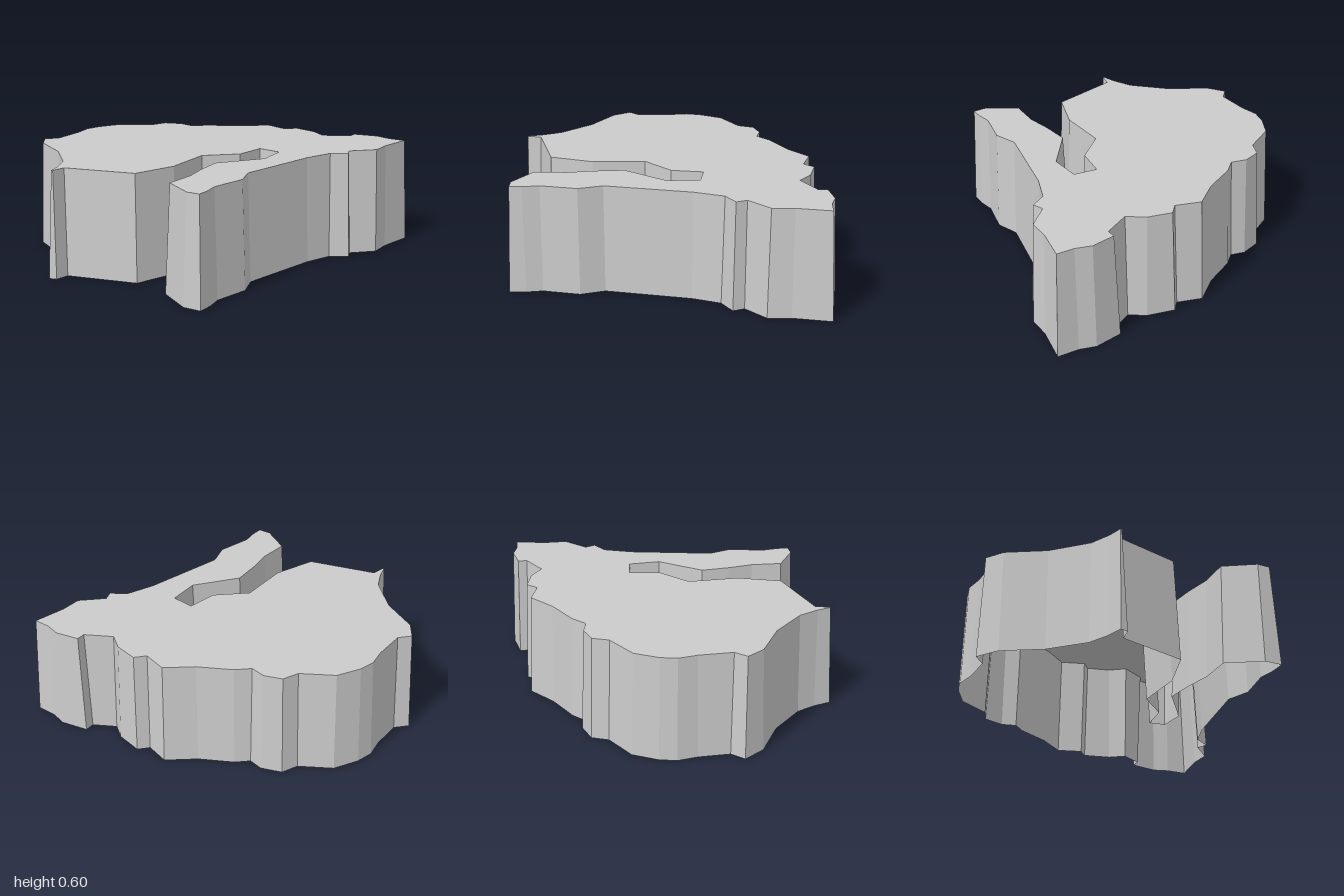
import * as THREE from 'three';

const HEIGHT = 0.6;
const INSET = 0.022; // how far the walls lean inward at the top

// Ground outline as x, z pairs, clockwise seen from above
const OUTLINE = [
  // back edge, from the side tip
  -1, -0.11, -0.91, -0.16, -0.815, -0.235, -0.69, -0.44, -0.62, -0.675, -0.525, -0.78,
  -0.445, -0.735, -0.27, -0.78, -0.165, -0.825, -0.065, -0.825, 0.085, -0.785,
  // +x edge
  0.225, -0.64, 0.325, -0.625, 0.39, -0.52, 0.39, -0.435, 0.465, -0.385, 0.6, -0.23,
  0.75, -0.115, 0.74, 0.03, 0.805, 0.065, 0.805, 0.225, 0.765, 0.32, 0.86, 0.425,
  0.915, 0.41, 0.98, 0.56, 0.975, 0.655, 1, 0.775,
  // front edge
  0.785, 0.785, 0.66, 0.815, 0.525, 0.73, 0.47, 0.77, 0.39, 0.69, 0.225, 0.67,
  -0.255, 0.685, -0.375, 0.76, -0.585, 0.765, -0.67, 0.8, -0.76, 0.82, -0.785, 0.72,
  // inlet
  -0.715, 0.51, -0.53, 0.475, -0.39, 0.415, -0.225, 0.36, 0.045, 0.475, 0.195, 0.43,
  0.185, 0.335, 0.02, 0.35, -0.16, 0.23, -0.44, 0.305, -0.71, 0.28,
  -0.9, -0.075, -0.98, -0.07,
];

// Moves every edge inward by a fixed distance, with mitred corners
function insetOutline(points, distance) {
  const n = points.length;
  const inward = (a, b) => new THREE.Vector2(a.y - b.y, b.x - a.x).normalize();
  return points.map((p, i) => {
    const n1 = inward(points[(i + n - 1) % n], p);
    const n2 = inward(p, points[(i + 1) % n]);
    const scale = distance / (1 + n1.dot(n2));
    return n1.add(n2).multiplyScalar(scale).add(p);
  });
}

// One flat quad per outline edge, from the ground up to the inset rim
function wallGeometry(base, rim) {
  const positions = [];
  base.forEach((b0, i) => {
    const j = (i + 1) % base.length;
    const b1 = base[j], t0 = rim[i], t1 = rim[j];
    positions.push(
      b0.x, 0, b0.y, t0.x, HEIGHT, t0.y, t1.x, HEIGHT, t1.y,
      b0.x, 0, b0.y, t1.x, HEIGHT, t1.y, b1.x, 0, b1.y,
    );
  });
  const geometry = new THREE.BufferGeometry();
  geometry.setAttribute('position', new THREE.Float32BufferAttribute(positions, 3));
  geometry.computeVertexNormals();
  return geometry;
}

export function createModel() {
  const group = new THREE.Group();
  group.name = 'raisedLandmass';
  const material = new THREE.MeshStandardMaterial({
    color: 0xcccccc, flatShading: true, side: THREE.DoubleSide,
  });

  const base = [];
  for (let i = 0; i < OUTLINE.length; i += 2) {
    base.push(new THREE.Vector2(OUTLINE[i], OUTLINE[i + 1]));
  }
  const rim = insetOutline(base, INSET);

  // Leaning side walls, open underneath
  const walls = new THREE.Mesh(wallGeometry(base, rim), material);
  walls.name = 'sideWalls';

  // Flat top surface
  const shape = new THREE.Shape(rim.map((p) => new THREE.Vector2(p.x, -p.y)));
  const top = new THREE.Mesh(new THREE.ShapeGeometry(shape).rotateX(-Math.PI / 2), material);
  top.position.y = HEIGHT;
  top.name = 'topSurface';

  group.add(walls, top);
  return group;
}
